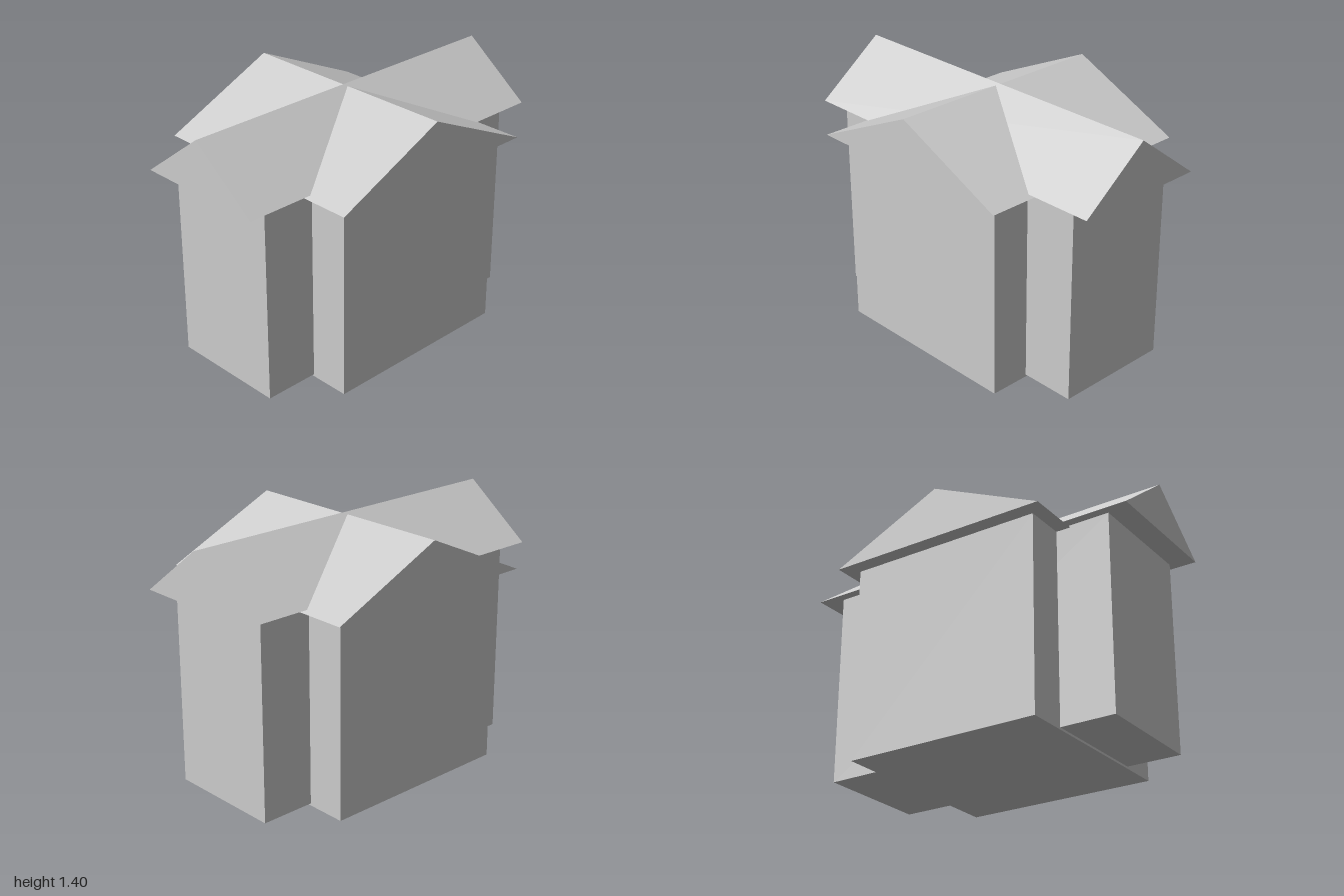
import * as THREE from 'three';

const material = new THREE.MeshStandardMaterial({ color: 0xcccccc, flatShading: true });

// Box block standing between two heights
function block(name, width, depth, bottom, top) {
  const mesh = new THREE.Mesh(new THREE.BoxGeometry(width, top - bottom, depth), material);
  mesh.name = name;
  mesh.position.y = (bottom + top) / 2;
  return mesh;
}

// Closed triangular prism with its ridge along z
function gableRoof(name, span, length, eave, ridge) {
  const gable = new THREE.Shape([
    new THREE.Vector2(-span / 2, eave),
    new THREE.Vector2(span / 2, eave),
    new THREE.Vector2(0, ridge),
  ]);
  const geometry = new THREE.ExtrudeGeometry(gable, { depth: length, bevelEnabled: false });
  geometry.translate(0, 0, -length / 2);
  const mesh = new THREE.Mesh(geometry, material);
  mesh.name = name;
  return mesh;
}

export function createModel() {
  const house = new THREE.Group();
  house.name = 'house';

  // Two crossing wall blocks
  house.add(block('mainWalls', 1.12, 1.12, 0, 1.1));
  house.add(block('sideWings', 1.74, 0.666, 0.012, 1.112));

  // Two crossing gable roofs, the longer one running left to right
  house.add(gableRoof('frontBackRoof', 1.286, 1.29, 1.1, 1.394));
  const longRoof = gableRoof('leftRightRoof', 0.768, 2, 1.112, 1.405);
  longRoof.rotation.y = Math.PI / 2;
  house.add(longRoof);

  return house;
}
